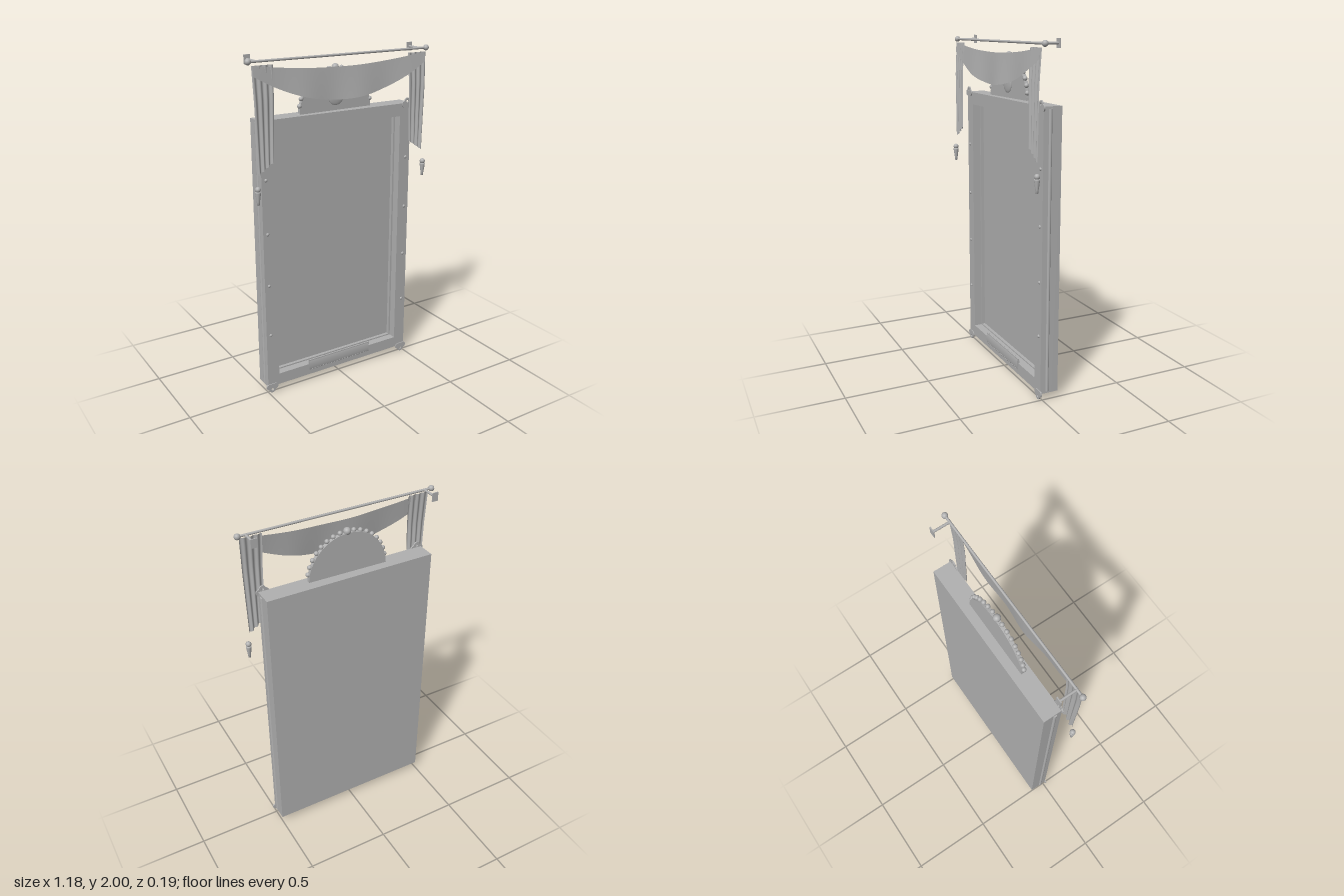
import * as THREE from 'three';

const gray = new THREE.MeshStandardMaterial({ color: 0xb0b0b0 });
gray.name = 'plain gray';
const cloth = new THREE.MeshStandardMaterial({ color: 0xb0b0b0, side: THREE.DoubleSide });
cloth.name = 'gray cloth';

export function createModel() {
  const model = new THREE.Group();
  model.name = 'drapedFrame';

  const add = (name, geometry, x = 0, y = 0, z = 0, material = gray) => {
    const mesh = new THREE.Mesh(geometry, material);
    mesh.name = name;
    mesh.position.set(x, y, z);
    model.add(mesh);
    return mesh;
  };
  const ball = (name, r, x, y, z) => add(name, new THREE.SphereGeometry(r, 16, 12), x, y, z);
  const extrude = (shape, depth) =>
    new THREE.ExtrudeGeometry(shape, { depth, bevelEnabled: false, curveSegments: 24 });
  const rect = (Type, x, y0, y1) => new Type([
    new THREE.Vector2(-x, y0), new THREE.Vector2(x, y0),
    new THREE.Vector2(x, y1), new THREE.Vector2(-x, y1)]);
  const border = (x, y0, y1, hx, hy0, hy1, depth) => {
    const shape = rect(THREE.Shape, x, y0, y1);
    shape.holes.push(rect(THREE.Path, hx, hy0, hy1));
    return extrude(shape, depth);
  };
  // Grid of cloth whose points are placed by rule(u, v), v running downwards
  const drape = (name, nu, nv, rule) => {
    const g = new THREE.PlaneGeometry(1, 1, nu, nv);
    const p = g.attributes.position;
    for (let i = 0; i < p.count; i++) p.setXYZ(i, ...rule(p.getX(i) + 0.5, 0.5 - p.getY(i)));
    g.computeVertexNormals();
    return add(name, g, 0, 0, 0, cloth);
  };

  // Shallow case with a stepped recess
  add('backPanel', new THREE.BoxGeometry(1.006, 1.615, 0.041), 0, 0.8475, -0.0755);
  add('frame', border(0.503, 0.04, 1.655, 0.427, 0.11, 1.58, 0.068), 0, 0, -0.055);
  add('innerStep', border(0.427, 0.11, 1.58, 0.416, 0.118, 1.572, 0.02), 0, 0, -0.055);

  // Three-lobed corner ear with a hole in its outer lobe
  const ear = new THREE.Shape();
  ear.moveTo(-0.014, 0.018);
  ear.absarc(-0.02, 0, 0.019, Math.PI * 0.45, Math.PI * 1.4, false);
  ear.absarc(0, -0.018, 0.02, Math.PI * 1.05, Math.PI * 1.95, false);
  ear.absarc(0.02, 0, 0.019, -Math.PI * 0.4, Math.PI * 0.55, false);
  const earHole = new THREE.Path();
  earHole.absarc(0, -0.018, 0.008, 0, Math.PI * 2, true);
  ear.holes.push(earHole);
  const earGeometry = extrude(ear, 0.008);

  for (const s of [-1, 1]) {
    // Side rail, ears and studs
    add('sideRail', new THREE.CylinderGeometry(0.01, 0.01, 1.59, 16), s * 0.501, 0.8475, -0.028);
    add('lowerEar', earGeometry, s * 0.477, 0.038, 0.01);
    add('upperEar', earGeometry, s * 0.477, 1.648, 0.018).rotation.x = Math.PI;
    for (const y of [0.38, 0.695, 1.01, 1.325])
      ball('stud', 0.01, s * 0.475, y, 0.012).scale.z = 0.8;

    // Rod end and wall bracket
    ball('rodFinial', 0.017, s * 0.575, 1.975, 0.049);
    add('bracketArm', new THREE.CylinderGeometry(0.007, 0.007, 0.102, 12), s * 0.53, 1.975, -0.002)
      .rotation.x = Math.PI / 2;
    add('bracketPlate', new THREE.BoxGeometry(0.036, 0.05, 0.006), s * 0.53, 1.975, -0.053);

    // Pleated tail with a slanting hem
    drape('curtainTail', 32, 12, (u, v) => {
      const inner = 0.437 + 0.015 * v, outer = 0.563 - 0.015 * v;
      const hem = 1.44 - 0.065 * u;
      const pleat = 0.007 * Math.sin(u * Math.PI * 7) * (0.5 + 0.5 * v);
      return [s * (inner + (outer - inner) * u), 1.955 + (hem - 1.955) * v,
        0.06 + 0.01 * Math.min(1, v * 3) + pleat];
    });

    // Tassel
    const tassel = [[0, 0], [0.007, 0], [0.009, 0.02], [0.016, 0.068], [0.015, 0.076], [0, 0.078]];
    add('tassel', new THREE.LatheGeometry(tassel.map(([r, y]) => new THREE.Vector2(r, y)), 16),
      s * 0.557, 1.215, 0.077);
    ball('tasselKnob', 0.016, s * 0.557, 1.303, 0.077);
  }

  // Curtain rod
  add('curtainRod', new THREE.CylinderGeometry(0.007, 0.007, 1.15, 16), 0, 1.975, 0.049)
    .rotation.z = Math.PI / 2;

  // Swagged valance, bellying forward with soft waves
  drape('valance', 64, 12, (u, v) => {
    const x = (u - 0.5) * 1.11, k = (x / 0.555) ** 2;
    const top = 1.913 + 0.043 * k;
    const bottom = 1.735 + 0.165 * k;
    const wave = 0.007 * Math.cos((x - 0.1) * Math.PI * 2 / 0.37) * (1 - k);
    return [x, top + (bottom - top) * v, 0.063 + 0.018 * v * (1 - 0.6 * k) + wave * (0.4 + 0.6 * v)];
  });

  // Half-round crest edged with beads
  const crest = new THREE.Shape();
  crest.moveTo(0.24, 0);
  crest.absarc(0, 0, 0.235, 0.02, Math.PI - 0.02, false);
  crest.lineTo(-0.24, 0);
  add('crest', extrude(crest, 0.022), 0, 1.655, -0.044);
  for (let a = -80; a <= 80; a += 10) {
    if (a === 0) continue;
    const t = a * Math.PI / 180;
    ball('crestBead', 0.013, 0.237 * Math.sin(t), 1.66 + 0.237 * Math.cos(t), -0.029);
  }
  ball('crestTopBead', 0.021, 0, 1.897, -0.031);
  ball('crestBoss', 0.053, 0, 1.738, -0.022).scale.z = 0.16;

  // Gently curved plaque with a row of small beads
  const plaque = new THREE.CylinderGeometry(0.042, 0.042, 0.44, 24);
  plaque.rotateZ(Math.PI / 2);
  plaque.scale(1, 0.9, 0.2);
  add('plaque', plaque, 0, 0.102, 0.012);
  add('plaqueBase', new THREE.BoxGeometry(0.445, 0.074, 0.006), 0, 0.102, 0.014);
  for (let i = 0; i < 21; i++) ball('plaqueBead', 0.004, -0.2 + i * 0.02, 0.075, 0.017);

  return model;
}
